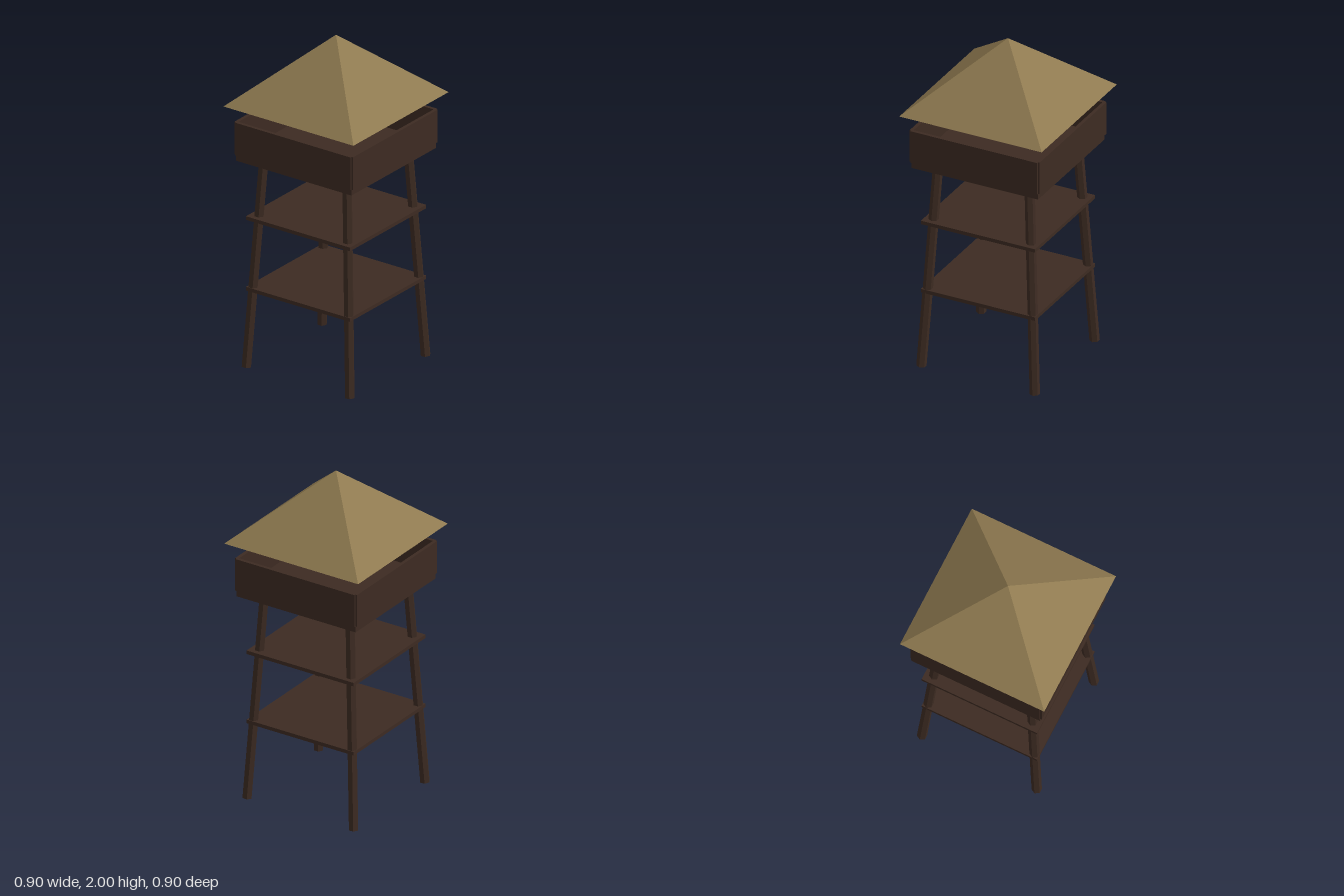
import * as THREE from 'three';

const wood = new THREE.MeshStandardMaterial({ color: 0x3d2b22, flatShading: true });
wood.name = 'dark wood';
const thatch = new THREE.MeshStandardMaterial({ color: 0x8f7a50, flatShading: true });
thatch.name = 'thatch';

export function createModel() {
  const model = new THREE.Group();
  model.name = 'watchtower';

  const add = (name, geometry, material, x = 0, y = 0, z = 0) => {
    const mesh = new THREE.Mesh(geometry, material);
    mesh.name = name;
    mesh.position.set(x, y, z);
    model.add(mesh);
    return mesh;
  };

  // Four six-sided legs leaning in towards the top
  const up = new THREE.Vector3(0, 1, 0);
  for (const sx of [-1, 1]) {
    for (const sz of [-1, 1]) {
      const foot = new THREE.Vector3(sx * 0.358, 0.002, sz * 0.358);
      const head = new THREE.Vector3(sx * 0.287, 1.29, sz * 0.287);
      const axis = head.clone().sub(foot);
      const leg = add('leg', new THREE.CylinderGeometry(0.029, 0.029, axis.length(), 6), wood);
      leg.position.copy(foot).add(head).multiplyScalar(0.5);
      leg.quaternion.setFromUnitVectors(up, axis.normalize());
    }
  }

  // Thin decks between the legs
  for (const y of [0.478, 0.911]) {
    add('lowerDeck', new THREE.BoxGeometry(0.72, 0.022, 0.72), wood, 0, y, 0);
  }

  // Lookout floor
  add('floor', new THREE.BoxGeometry(0.8, 0.04, 0.8), wood, 0, 1.287, 0);

  // Parapet: four panels with notched corners
  for (const s of [-1, 1]) {
    add('frontBackWall', new THREE.BoxGeometry(0.8, 0.2, 0.02), wood, 0, 1.404, s * 0.4);
    add('sideWall', new THREE.BoxGeometry(0.02, 0.2, 0.8), wood, s * 0.4, 1.404, 0);
  }

  // Pyramid roof floating above the parapet
  const roof = new THREE.ConeGeometry(0.45 * Math.SQRT2, 0.396, 4);
  roof.rotateY(Math.PI / 4);
  add('roof', roof, thatch, 0, 1.802, 0);

  return model;
}
